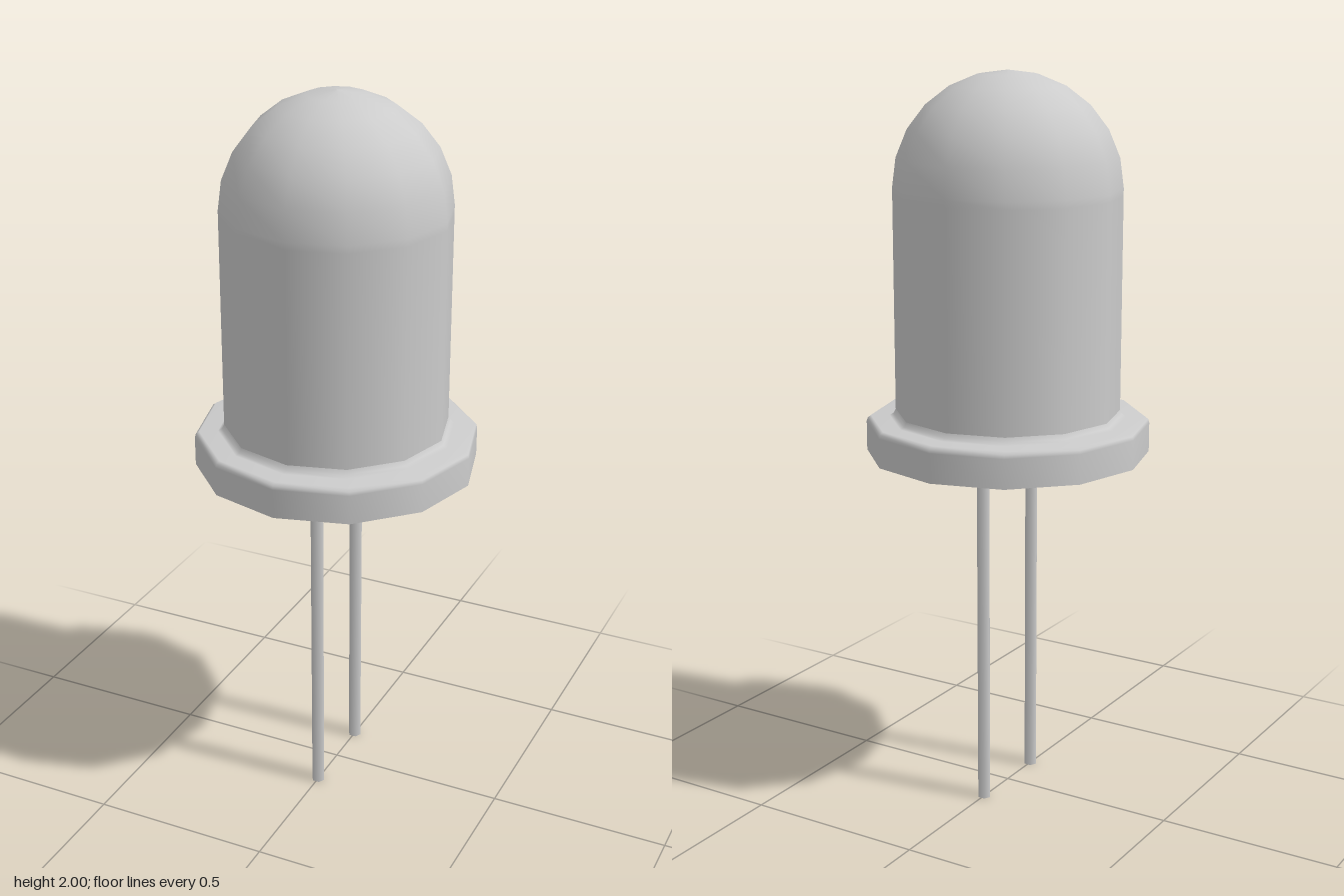
import * as THREE from 'three';

const SIDES = 12;

export function createModel() {
  const group = new THREE.Group();
  const material = new THREE.MeshStandardMaterial({ color: 0xcccccc });

  const addLathe = (name, profile) => {
    const points = profile.map(([r, y]) => new THREE.Vector2(r, y));
    const mesh = new THREE.Mesh(new THREE.LatheGeometry(points, SIDES), material);
    mesh.name = name;
    group.add(mesh);
  };

  // Flat underside of the rim
  addLathe('rimUnderside', [[0, 0.98], [0.385, 0.98]]);

  // Rim with a softened upper edge and a small fillet into the body
  addLathe('rim', [
    [0.385, 0.98], [0.385, 1.06], [0.382, 1.07], [0.373, 1.077],
    [0.322, 1.077], [0.311, 1.083], [0.305, 1.095],
  ]);

  // Straight body closed by a rounded dome
  const radius = 0.305, domeBase = 1.695;
  const body = [[radius, 1.095], [radius, 1.11], [radius, domeBase - 0.02]];
  for (let i = 0; i < 6; i++) {
    const a = (i * Math.PI) / 12;
    body.push([radius * Math.cos(a), domeBase + radius * Math.sin(a)]);
  }
  body.push([0, 2]);
  addLathe('domedBody', body);

  // Two straight six-sided wire leads
  for (const side of [1, -1]) {
    const geometry = new THREE.CylinderGeometry(0.019, 0.019, 0.98, 6, 1, false, Math.PI / 6);
    const lead = new THREE.Mesh(geometry, material);
    lead.name = side > 0 ? 'frontLead' : 'backLead';
    lead.position.set(0, 0.49, side * 0.127);
    group.add(lead);
  }

  return group;
}
